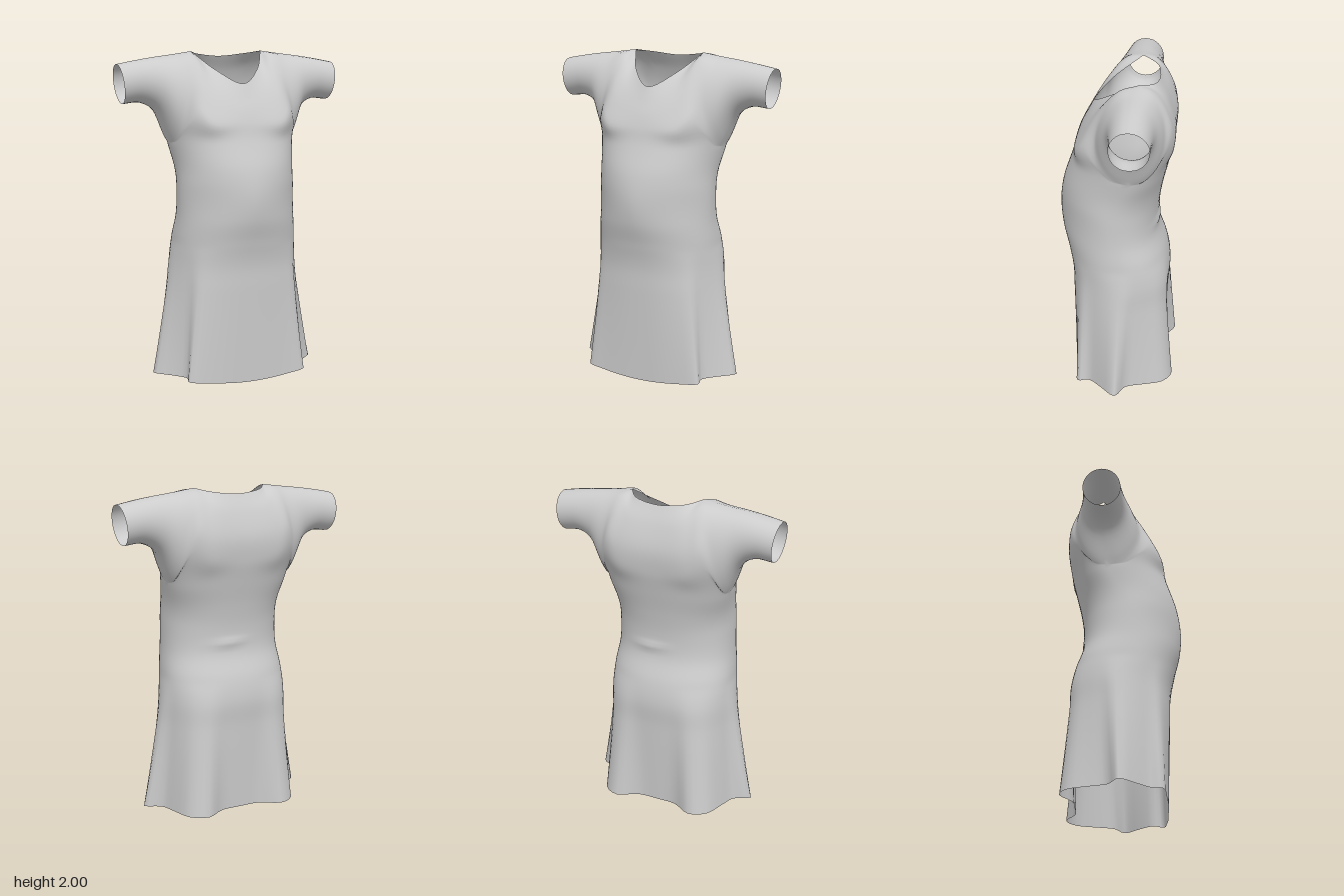
import * as THREE from 'three';
import { mergeGeometries, mergeVertices } from 'three/addons/utils/BufferGeometryUtils.js';

const V = (x, y, z) => new THREE.Vector3(x, y, z);
const flipX = (p) => V(-p.x, p.y, p.z);
const spline = (pts, closed = false) => new THREE.CatmullRomCurve3(pts, closed, 'catmullrom', 0.5);
const { smoothstep, degToRad } = THREE.MathUtils;
const WAIST = 1.45;          // height where the lower body meets the chest
const STEP = 6;              // columns between two ribs, 5 degrees each

// Rectangular patch of points fn(u, v), u and v in 0..1
function patch(cols, rows, fn) {
  const pos = [], idx = [];
  for (let r = 0; r <= rows; r++)
    for (let c = 0; c <= cols; c++) pos.push(...fn(c / cols, r / rows).toArray());
  for (let r = 0; r < rows; r++)
    for (let c = 0; c < cols; c++) {
      const a = r * (cols + 1) + c, b = a + 1, d = a + cols + 1, e = d + 1;
      idx.push(a, b, e, a, e, d);
    }
  const g = new THREE.BufferGeometry();
  g.setAttribute('position', new THREE.Float32BufferAttribute(pos, 3));
  g.setIndex(idx);
  return g;
}

// Half width, front depth and back depth at equal heights from hem to chest
const body = spline([
  [.385, .29, -.32], [.385, .29, -.32], [.385, .29, -.32], [.385, .29, -.32],
  [.385, .29, -.32], [.388, .29, -.325], [.385, .312, -.298], [.37, .348, -.25],
  [.366, .358, -.245], [.366, .338, -.265], [.388, .29, -.298],
].map((p) => V(...p)));

// Folded hem outline, from front centre round the side to back centre
const hemHalf = [
  [0, .262], [.13, .262], [.27, .252], [.38, .235], [.375, .165], [.45, .08], [.53, -.01],
  [.435, -.07], [.4, -.17], [.355, -.3], [.25, -.355], [.13, -.29], [0, -.285],
].map(([x, z]) => V(x, 0, z));
const hem = spline([...hemHalf, ...hemHalf.slice(1, -1).reverse().map(flipX)], true);

const clean = (s) => (Math.abs(s) < 1e-9 ? 0 : s);
const power = (s, e) => Math.sign(s) * Math.abs(s) ** e;

// Point of the lower body at angle a (0 = front) and height y
function ring(a, y) {
  const k = body.getPoint(y / WAIST);
  const side = (k.y + k.z) / 2 - .02 - .06 * smoothstep(y, 1.2, WAIST);
  const s = clean(Math.sin(a)), c = clean(Math.cos(a));
  // the belly is narrower than the rest of the front
  const e = .88 + (c > 0 ? .24 * Math.exp(-(((y - 1.12) / .2) ** 2)) : 0);
  const p = V(k.x * power(s, e), y, side + ((c > 0 ? k.y : k.z) - side) * power(Math.abs(c), e));
  // small crease across the lower back
  if (c < 0) p.z -= .014 * Math.exp(-(((y - 1.08) / .022) ** 2) - ((p.x - .06) / .1) ** 2);
  // folds grow towards the hem, which dips at the front
  const t = Math.max(0, (.85 - y) / .85);
  const h = hem.getPoint(((a / (2 * Math.PI)) % 1 + 1) % 1);
  p.x += (h.x - p.x) * t;
  p.z += (h.z - p.z) * t;
  p.y += .042 * t ** 3 * (1 - Math.max(0, c) ** 4);
  return p;
}

// Half-ellipse rib of a sleeve from underarm b to shoulder t, bulging to depth z
function sleeveRib(b, t, z) {
  return Array.from({ length: 9 }, (_, i) => {
    const a = i / 8 * Math.PI;
    const p = b.clone().lerp(t, (1 - Math.cos(a)) / 2);
    p.z += (z - (b.z + t.z) / 2) * Math.sin(a);
    return p;
  });
}

// Ribs of the front or back chest, from the centre to the sleeve opening
function chestRibs(isFront) {
  const bottom = (deg) => ring(degToRad(isFront ? deg : 180 - deg), WAIST);
  const centre = isFront
    ? [
      [[0, 1.56, .262], [0, 1.65, .23], [0, 1.73, .19], [0, 1.81, .15]],
      [[.21, 1.56, .25], [.195, 1.68, .2], [.17, 1.79, .135], [.135, 1.89, .05]],
      [[.315, 1.58, .185], [.295, 1.73, .14], [.27, 1.86, .08], [.248, 1.965, -.01], [.23, 1.998, -.12]],
    ] : [
      [[0, 1.58, -.327], [0, 1.72, -.334], [0, 1.86, -.292], [0, 1.965, -.235]],
      [[.205, 1.58, -.325], [.19, 1.73, -.334], [.17, 1.88, -.285], [.15, 1.98, -.21]],
      [[.325, 1.6, -.285], [.3, 1.75, -.315], [.275, 1.89, -.27], [.25, 1.975, -.2], [.23, 1.998, -.12]],
    ];
  const ribs = centre.map((pts, i) => [bottom(i * 30), ...pts.map((p) => V(...p))]);
  const pick = (f, b) => (isFront ? f : b);
  ribs.push(
    sleeveRib(bottom(90), V(.36, 1.98, -.115), pick(.095, -.275)),
    sleeveRib(V(.465, 1.63, -.105), V(.48, 1.965, -.11), pick(.04, -.24)),
    sleeveRib(V(.56, 1.695, -.105), V(.59, 1.948, -.105), pick(.015, -.225)),
    sleeveRib(V(.675, 1.69, -.105), V(.705, 1.927, -.105), pick(.005, -.22)),
  );
  return ribs;
}

// Smooth sheet across the mirrored ribs, cuff to cuff
function chestSheet(isFront) {
  const half = chestRibs(isFront);
  const curves = [...half.slice(1).reverse().map((rib) => rib.map(flipX)), ...half].map((rib) => spline(rib));
  const n = curves.length - 1, mid = n / 2;
  const across = (v) => spline(curves.map((c) => c.getPoint(v)));
  const low = across(0), high = across(1);
  const tops = half.map((rib) => rib.at(-1));
  const neck = spline([flipX(tops[2]), flipX(tops[1]), ...tops.slice(0, 3)]);
  const seam = spline(tops.slice(2));
  const underarm = spline(half.slice(3).map((rib) => rib[0]));
  const mirrored = (p, station) => (station < 0 ? flipX(p) : p);

  return patch(n * STEP, 24, (u, v) => {
    const s = isFront ? u : 1 - u;
    const p = across(v).getPoint(s);
    const station = Math.round((s * n - mid) * STEP) / STEP, q = Math.abs(station);
    // neckline and shoulder seam
    const top = q <= 2 ? neck.getPoint((station + 2) / 4) : mirrored(seam.getPoint((q - 2) / 4), station);
    p.addScaledVector(top.sub(high.getPoint(s)), v ** 4);
    // body outline below, then the underarm seam
    const angle = isFront ? station * Math.PI / 6 : Math.PI - station * Math.PI / 6;
    const edge = q <= 3 ? ring(angle, WAIST) : mirrored(underarm.getPoint((q - 3) / 3), station);
    p.addScaledVector(edge.clone().sub(low.getPoint(s)), (1 - v) ** 4);
    // carry the slope of the body up into the chest
    if (q < 3) {
      const slope = edge.clone().sub(ring(angle, WAIST - .03)).divideScalar(.03);
      const on = edge.addScaledVector(slope, p.y - WAIST);
      p.lerp(on, (1 - smoothstep(v, 0, .3)) * (1 - smoothstep(q, 2, 3)));
    }
    return p;
  });
}

export function createModel() {
  const group = new THREE.Group();
  group.name = 'tunic';
  // Skirt, belly and waist
  const lower = patch(12 * STEP, 64, (u, v) => ring((u * 2 - 1) * Math.PI, v * WAIST));
  // Chest, back and sleeves joined to it as one smooth cloth
  const cloth = mergeVertices(mergeGeometries([lower, chestSheet(true), chestSheet(false)]), 1e-4);
  cloth.computeVertexNormals();
  const mesh = new THREE.Mesh(cloth, new THREE.MeshStandardMaterial({
    color: 0xcccccc, side: THREE.DoubleSide,
  }));
  mesh.name = 'tunicCloth';
  group.add(mesh);
  return group;
}
